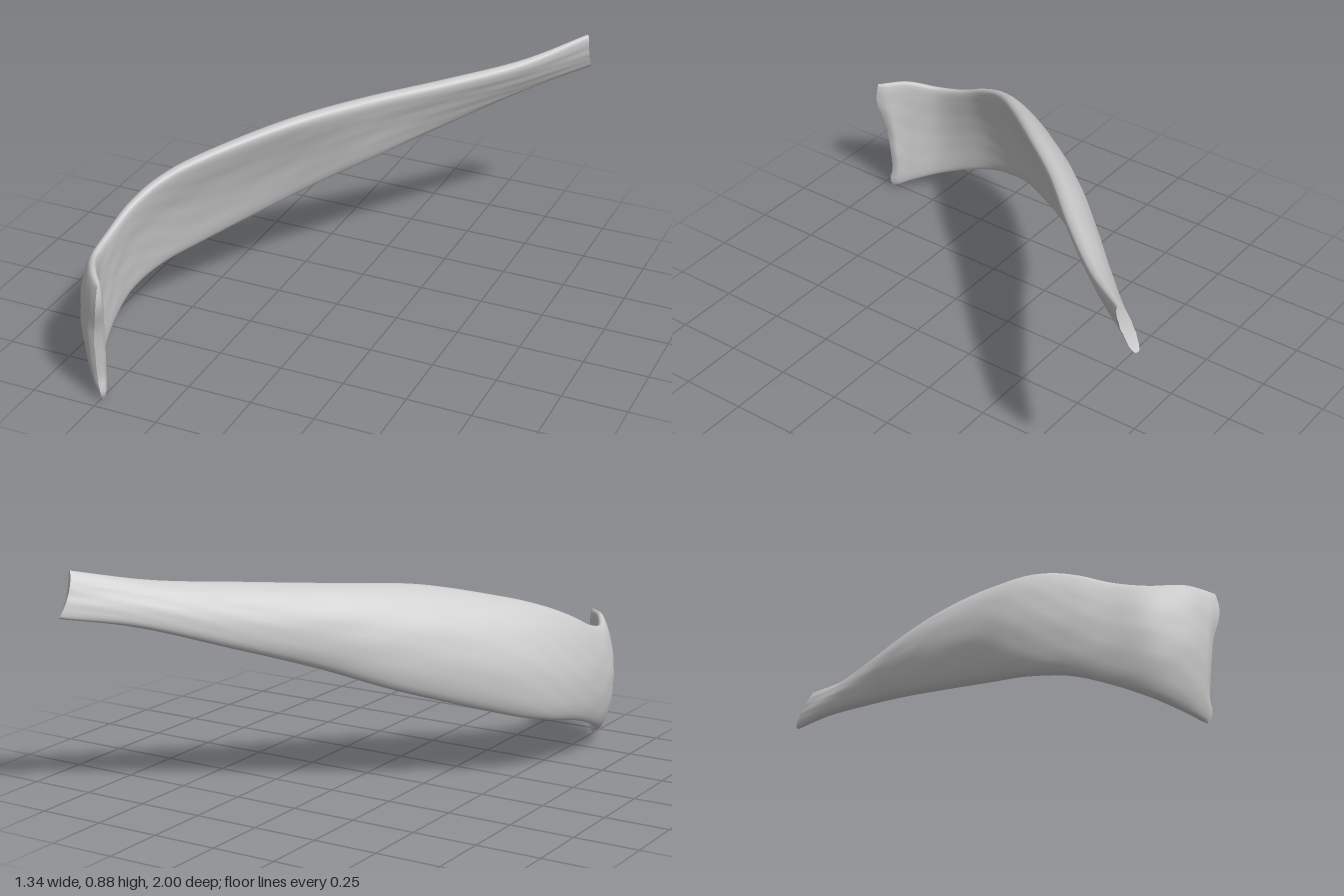
import * as THREE from 'three';

// Stations from the hooked front end to the narrow back end:
// upper edge x,y,z | lower edge x,y,z | half thickness, outward bow
const STATIONS = [
  [-0.465, 0.508, 0.98, -0.493, 0.003, 0.945, 0.029, 0.008],
  [-0.535, 0.513, 0.895, -0.535, 0.033, 0.885, 0.033, 0.02],
  [-0.592, 0.498, 0.78, -0.59, 0.078, 0.78, 0.033, 0.025],
  [-0.597, 0.525, 0.66, -0.62, 0.135, 0.64, 0.033, 0.023],
  [-0.573, 0.583, 0.54, -0.625, 0.183, 0.5, 0.037, 0.027],
  [-0.516, 0.64, 0.415, -0.59, 0.218, 0.34, 0.043, 0.034],
  [-0.412, 0.69, 0.278, -0.495, 0.262, 0.185, 0.049, 0.04],
  [-0.2, 0.755, 0.04, -0.22, 0.39, -0.14, 0.051, 0.036],
  [0.01, 0.782, -0.21, 0, 0.49, -0.34, 0.05, 0.028],
  [0.25, 0.803, -0.45, 0.22, 0.583, -0.56, 0.043, 0.018],
  [0.472, 0.828, -0.688, 0.46, 0.677, -0.79, 0.032, 0.008],
  [0.66, 0.885, -0.92, 0.655, 0.726, -0.995, 0.021, 0],
];
const ROWS = 120, SEGMENTS = 40;

const curve = (pick) => new THREE.CatmullRomCurve3(
  STATIONS.map((s) => new THREE.Vector3(...pick(s))), false, 'catmullrom', 0.5);
const bump = (x, centre, width) => Math.exp(-(((x - centre) / width) ** 2));

// One rounded, outward-bowed cross-section per row
function sectionRings() {
  const top = curve((s) => s.slice(0, 3));
  const bottom = curve((s) => s.slice(3, 6));
  const size = curve((s) => [s[6], s[7], 0]);
  const middle = (u) => top.getPoint(u).add(bottom.getPoint(u)).multiplyScalar(0.5);
  const rings = [];
  for (let i = 0; i <= ROWS; i++) {
    const u = i / ROWS;
    const centre = middle(u);
    const half = top.getPoint(u).sub(centre);
    const tangent = middle(Math.min(1, u + 0.005)).sub(middle(Math.max(0, u - 0.005))).normalize();
    const outward = half.clone().cross(tangent).normalize();
    const { x: thick, y: bow } = size.getPoint(u);
    // the front lip is rounded off and both ends have a waisted outline
    const lip = Math.sqrt(Math.min(1, 0.25 + u / 0.03));
    const front = Math.max(0, 1 - u / 0.07);
    const back = Math.max(0, 1 - (1 - u) / 0.05);
    const ring = [];
    for (let j = 0; j < SEGMENTS; j++) {
      const a = (j / SEGMENTS) * Math.PI * 2;
      const s = Math.sin(a), c = Math.cos(a);
      // faint lengthwise grain
      const grain = 0.0018 * s * s * Math.sin(11 * a + 2.5 * Math.sin(u * 14)) * Math.sin(u * 31 + 3 * a);
      const offset = thick * lip * Math.sign(s) * Math.abs(s) ** 0.75 + bow * s * s + grain;
      const shift = -front * (0.028 * bump(c, 0.7, 0.35) + 0.018 * bump(c, -0.85, 0.13)) - back * 0.012 * s * s;
      ring.push(centre.clone().addScaledVector(half, c)
        .addScaledVector(outward, offset).addScaledVector(tangent, shift));
    }
    rings.push(ring);
  }
  return rings;
}

function buildGeometry(points, index) {
  const geometry = new THREE.BufferGeometry().setFromPoints(points);
  geometry.setIndex(index);
  geometry.computeVertexNormals();
  return geometry;
}

// End face closing a ring, joined across from one side to the other
function capGeometry(ring, reverse) {
  const index = [];
  const face = (a, b, c) => index.push(a, ...(reverse ? [c, b] : [b, c]));
  for (let j = 0; j < SEGMENTS / 2; j++) {
    const a = j, b = j + 1;
    const c = SEGMENTS - b, d = (SEGMENTS - a) % SEGMENTS;
    if (a !== d) face(a, b, d);
    if (b !== c) face(b, c, d);
  }
  return buildGeometry(ring, index);
}

export function createModel() {
  const group = new THREE.Group();
  group.name = 'curvedBlade';
  const material = new THREE.MeshStandardMaterial({ color: 0xcccccc });
  const add = (name, geometry) => {
    const mesh = new THREE.Mesh(geometry, material);
    mesh.name = name;
    group.add(mesh);
  };

  const rings = sectionRings();
  const index = [];
  for (let i = 0; i < ROWS; i++) {
    for (let j = 0; j < SEGMENTS; j++) {
      const k = (j + 1) % SEGMENTS;
      const a = i * SEGMENTS + j, b = a + SEGMENTS;
      const c = i * SEGMENTS + k, d = c + SEGMENTS;
      index.push(a, b, c, b, d, c);
    }
  }
  add('blade', buildGeometry(rings.flat(), index));
  add('frontEnd', capGeometry(rings[0], false));
  add('backEnd', capGeometry(rings[ROWS], true));
  return group;
}
